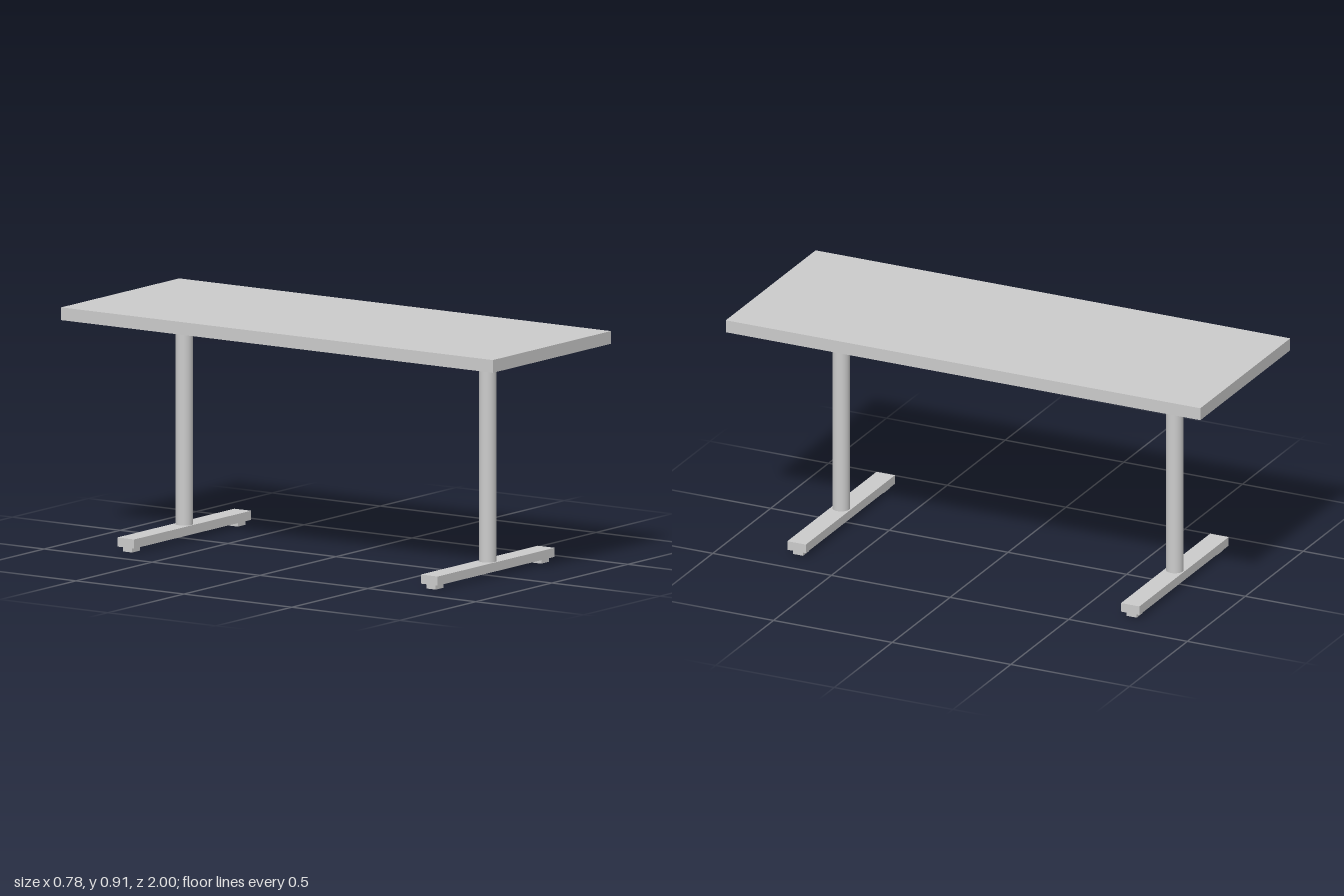
import * as THREE from 'three';

export function createModel() {
  const model = new THREE.Group();
  model.name = 'table';
  const material = new THREE.MeshStandardMaterial({ color: 0xcccccc });

  function add(parent, name, geometry, x, y, z) {
    const mesh = new THREE.Mesh(geometry, material);
    mesh.name = name;
    mesh.position.set(x, y, z);
    parent.add(mesh);
  }

  // Flat rectangular top
  add(model, 'tableTop', new THREE.BoxGeometry(0.776, 0.049, 2), 0, 0.8885, 0);

  // Two T-shaped legs, each a round column on a crossbar with two pads
  const column = new THREE.CylinderGeometry(0.033, 0.033, 0.811, 48);
  const bar = new THREE.BoxGeometry(0.77, 0.035, 0.078);
  const pad = new THREE.BoxGeometry(0.05, 0.019, 0.042);

  for (const side of [1, -1]) {
    const leg = new THREE.Group();
    leg.name = side > 0 ? 'frontLeg' : 'backLeg';
    leg.position.z = side * 0.703;
    add(leg, 'column', column, 0, 0.4585, 0);
    add(leg, 'footBar', bar, 0, 0.0365, 0);
    add(leg, 'leftFootPad', pad, 0.347, 0.0095, 0);
    add(leg, 'rightFootPad', pad, -0.347, 0.0095, 0);
    model.add(leg);
  }

  return model;
}
